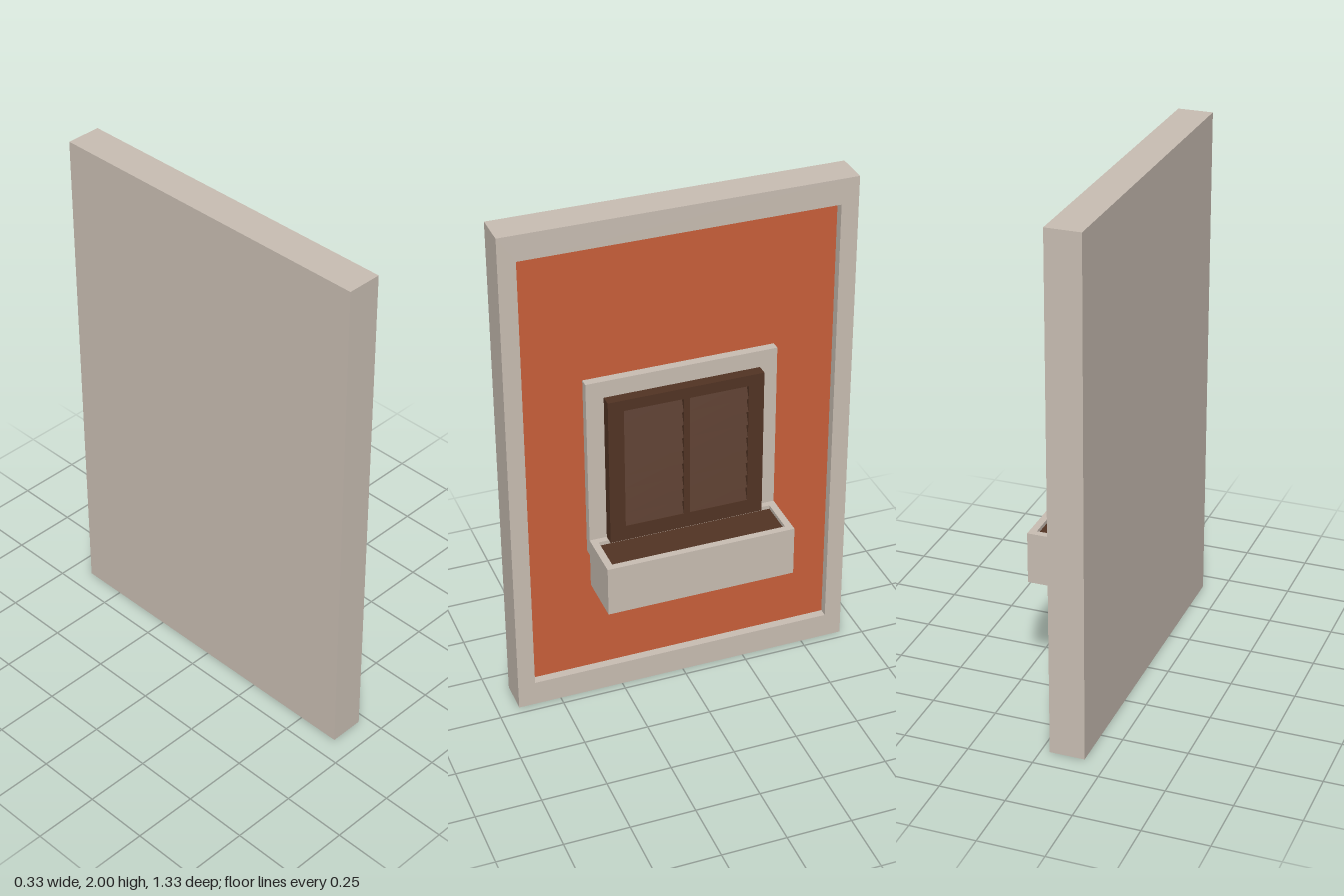
import * as THREE from 'three';

export function createModel() {
  const model = new THREE.Group();
  model.name = 'wallWithShutteredWindow';

  const makeMaterial = (name, color) => {
    const m = new THREE.MeshStandardMaterial({ color });
    m.name = name;
    return m;
  };
  const stone = makeMaterial('paleStone', 0xc9beb3);
  const plaster = makeMaterial('orangePlaster', 0xc95f3a);
  const wood = makeMaterial('darkBrown', 0x523424);

  const add = (name, geometry, material) => {
    const mesh = new THREE.Mesh(geometry, material);
    mesh.name = name;
    model.add(mesh);
    return mesh;
  };

  // Box given by its limits on each axis
  const box = (name, material, [x0, x1], [y0, y1], [z0, z1]) => {
    const g = new THREE.BoxGeometry(x1 - x0, y1 - y0, z1 - z0);
    g.translate((x0 + x1) / 2, (y0 + y1) / 2, (z0 + z1) / 2);
    return add(name, g, material);
  };

  const rect = (Type, a0, a1, b0, b1) => new Type([
    new THREE.Vector2(a0, b0), new THREE.Vector2(a1, b0),
    new THREE.Vector2(a1, b1), new THREE.Vector2(a0, b1),
  ]);

  // Upright plate with rectangular holes, facing +x; rectangles are [z0, z1, y0, y1]
  const plate = (name, material, x0, x1, outer, holes) => {
    const shape = rect(THREE.Shape, ...outer);
    shape.holes = holes.map((h) => rect(THREE.Path, ...h));
    const g = new THREE.ExtrudeGeometry(shape, { depth: x1 - x0, bevelEnabled: false });
    g.rotateY(Math.PI / 2).translate(x0, 0, 0);
    return add(name, g, material);
  };

  const front = -0.033; // front plane of the wall border
  const recess = -0.067; // plane of the plaster field

  // Wall: back slab, raised border and plaster field
  box('wallSlab', stone, [-0.167, recess - 0.004], [0, 2], [-0.667, 0.667]);
  plate('wallBorder', stone, recess - 0.004, front,
    [-0.667, 0.667, 0, 2], [[-0.6, 0.6, 0.1, 1.9]]);
  box('plasterField', plaster, [recess - 0.004, recess], [0.1, 1.9], [-0.6, 0.6]);

  // Window surround
  box('windowSurround', stone, [recess, front], [0.633, 1.367], [-0.367, 0.367]);

  // Shutter frame with two louvre openings
  const face = 0.01, slotTop = 1.256, pitch = 0.055, slatCount = 9;
  const slotBottom = slotTop - pitch * slatCount;
  const openings = [[-0.24, -0.012], [0.012, 0.24]];
  plate('shutterFrame', wood, front, face, [-0.3, 0.3, 0.7, 1.3],
    openings.map(([z0, z1]) => [z0, z1, slotBottom, slotTop]));

  // Louvres: a sawtooth profile, each slat deep at its top and flush at its foot
  const profile = new THREE.Shape();
  profile.moveTo(front, slotTop);
  profile.lineTo(front, slotBottom);
  for (let i = slatCount - 1; i >= 0; i--) {
    const top = slotTop - i * pitch;
    profile.lineTo(face - 0.001, top - pitch);
    profile.lineTo(face - 0.024, top);
  }
  profile.closePath();
  for (const [z0, z1] of openings) {
    const g = new THREE.ExtrudeGeometry(profile, { depth: z1 - z0, bevelEnabled: false });
    g.translate(0, 0, z0);
    add(z0 < 0 ? 'rightLouvres' : 'leftLouvres', g, wood);
  }

  // Planter box: floor, open rim and soil
  const rimShape = rect(THREE.Shape, front, 0.167, -0.367, 0.367);
  rimShape.holes = [rect(THREE.Path, -0.009, 0.14, -0.34, 0.34)];
  const rim = new THREE.ExtrudeGeometry(rimShape, { depth: 0.17, bevelEnabled: false });
  rim.rotateX(-Math.PI / 2).translate(0, 0.53, 0);
  add('planterWalls', rim, stone);
  box('planterFloor', stone, [front, 0.167], [0.5, 0.53], [-0.367, 0.367]);
  box('planterSoil', wood, [-0.009, 0.14], [0.53, 0.685], [-0.34, 0.34]);

  return model;
}
